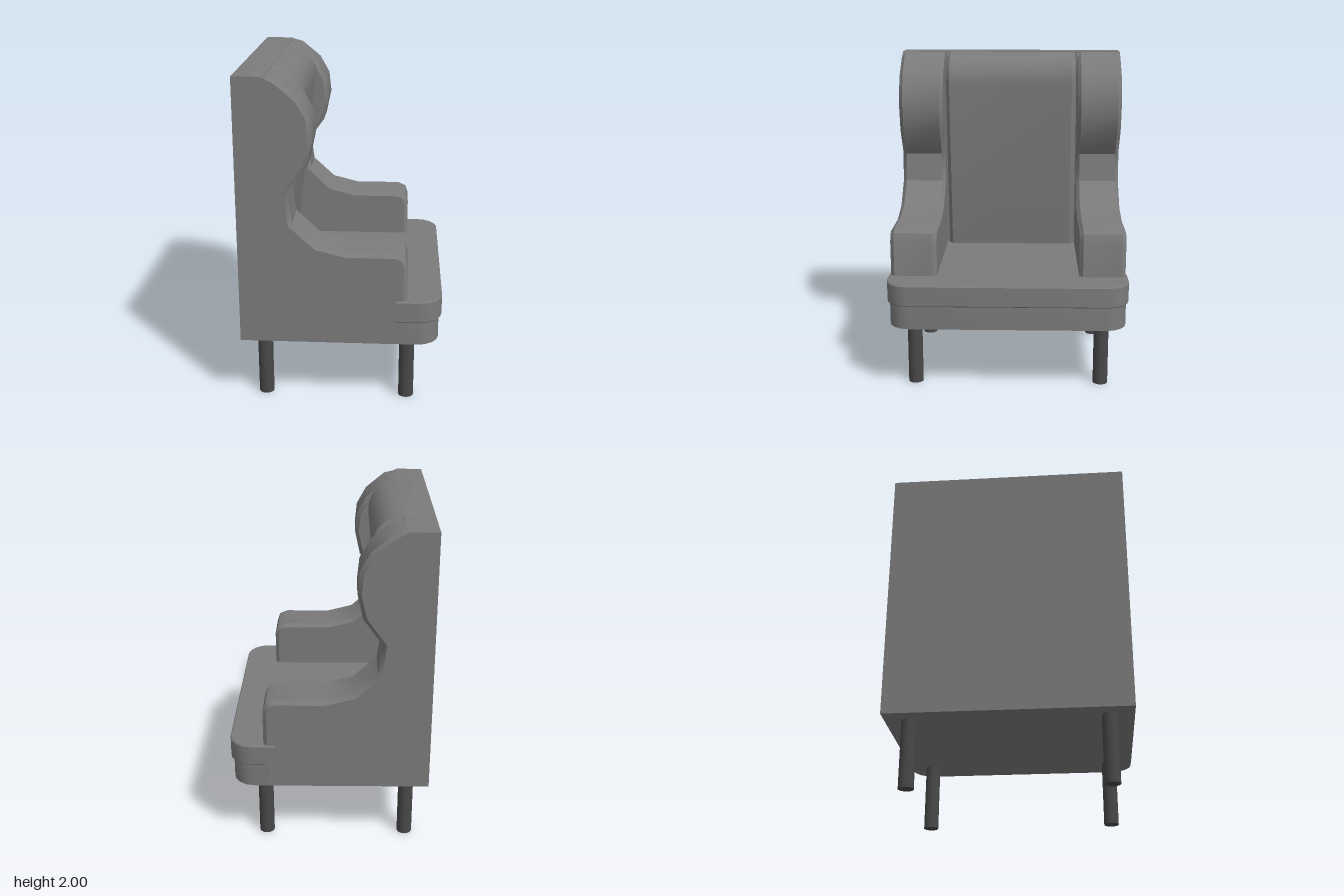
import * as THREE from 'three';
import { toCreasedNormals } from 'three/addons/utils/BufferGeometryUtils.js';

const BACK = -0.6, TOP = 2, BOTTOM = 0.41, CREASE = 0.6;

// Extrudes an outline by depth (bevels included), centred on the extrusion axis.
function slab(points, depth, bevel) {
  const shape = new THREE.Shape(points.map(([x, y]) => new THREE.Vector2(x, y)));
  const geometry = new THREE.ExtrudeGeometry(shape, {
    depth: depth - 2 * bevel,
    bevelEnabled: bevel > 0,
    bevelThickness: bevel,
    bevelSize: bevel,
    bevelOffset: -bevel,
    bevelSegments: 1,
  });
  return geometry.translate(0, 0, bevel - depth / 2);
}

// Trims the overshooting outline flat, so the back, top and base stay sharp.
function trim(geometry) {
  const p = geometry.attributes.position;
  for (let i = 0; i < p.count; i++) {
    p.setX(i, Math.max(p.getX(i), BACK));
    p.setY(i, THREE.MathUtils.clamp(p.getY(i), BOTTOM, TOP));
  }
  return toCreasedNormals(geometry, CREASE);
}

// Rounded front corners of a plan outline, from right side to left side.
function frontCorners(front, half, radius) {
  const points = [];
  for (const side of [-1, 1]) {
    for (let i = 0; i <= 4; i++) {
      const a = (side < 0 ? i - 4 : i) * Math.PI / 8;
      points.push([
        front - radius + radius * Math.cos(a),
        side * (half - radius) + radius * Math.sin(a),
      ]);
    }
  }
  return points;
}

export function createModel() {
  const chair = new THREE.Group();
  chair.name = 'wingbackArmchair';

  const fabric = new THREE.MeshStandardMaterial({ color: 0x7b7b7b });
  fabric.name = 'grey fabric';
  const legPaint = new THREE.MeshStandardMaterial({ color: 0x484848 });
  legPaint.name = 'dark leg';

  const add = (name, geometry, material, x = 0, y = 0, z = 0) => {
    const mesh = new THREE.Mesh(geometry, material);
    mesh.name = name;
    mesh.position.set(x, y, z);
    chair.add(mesh);
  };

  // Side panels: wing and arm in one padded outline
  const wing = trim(slab([
    [-0.65, 0.36], [0.39, 0.36], [0.39, 0.9], [0.372, 0.955], [0.32, 0.977],
    [0.03, 0.977], [-0.14, 1.02], [-0.28, 1.15], [-0.305, 1.33], [-0.19, 1.49],
    [-0.157, 1.64], [-0.17, 1.77], [-0.23, 1.88], [-0.35, 1.98],
    [-0.43, 2.03], [-0.65, 2.03],
  ], 0.285, 0.023));
  add('leftWingArm', wing, fabric, 0, 0, 0.5815);
  add('rightWingArm', wing, fabric, 0, 0, -0.5815);

  // Back frame joining the side panels
  add('backFrame', new THREE.BoxGeometry(0.18, TOP - BOTTOM, 1.42), fabric,
    BACK + 0.09, (TOP + BOTTOM) / 2, 0);

  // Back cushion: rounded top, leaning face
  add('backCushion', trim(slab([
    [-0.65, 0.6], [-0.385, 0.6], [-0.24, 1.8], [-0.245, 1.86], [-0.27, 1.92],
    [-0.315, 1.965], [-0.37, 1.99], [-0.43, 2.03], [-0.65, 2.03],
  ], 0.85, 0.023)), fabric);

  // Seat base
  const base = slab([
    [BACK, -0.723], ...frontCorners(0.58, 0.723, 0.13), [BACK, 0.723],
  ], 0.15, 0).rotateX(-Math.PI / 2);
  add('seatBase', toCreasedNormals(base, CREASE), fabric, 0, BOTTOM + 0.075, 0);

  // Seat cushion, wider in front of the arms
  const cushion = slab([
    [-0.5, -0.5], [0.32, -0.5], [0.32, -0.737],
    ...frontCorners(0.597, 0.737, 0.14),
    [0.32, 0.737], [0.32, 0.5], [-0.5, 0.5],
  ], 0.13, 0.006).rotateX(-Math.PI / 2);
  add('seatCushion', toCreasedNormals(cushion, CREASE), fabric, 0, 0.622, 0);

  // Legs
  const leg = new THREE.CylinderGeometry(0.046, 0.046, BOTTOM, 16);
  for (const [end, x] of [['front', 0.393], ['back', -0.472]]) {
    for (const [side, z] of [['Left', 0.58], ['Right', -0.58]]) {
      add(`${end}${side}Leg`, leg, legPaint, x, BOTTOM / 2, z);
    }
  }
  return chair;
}
